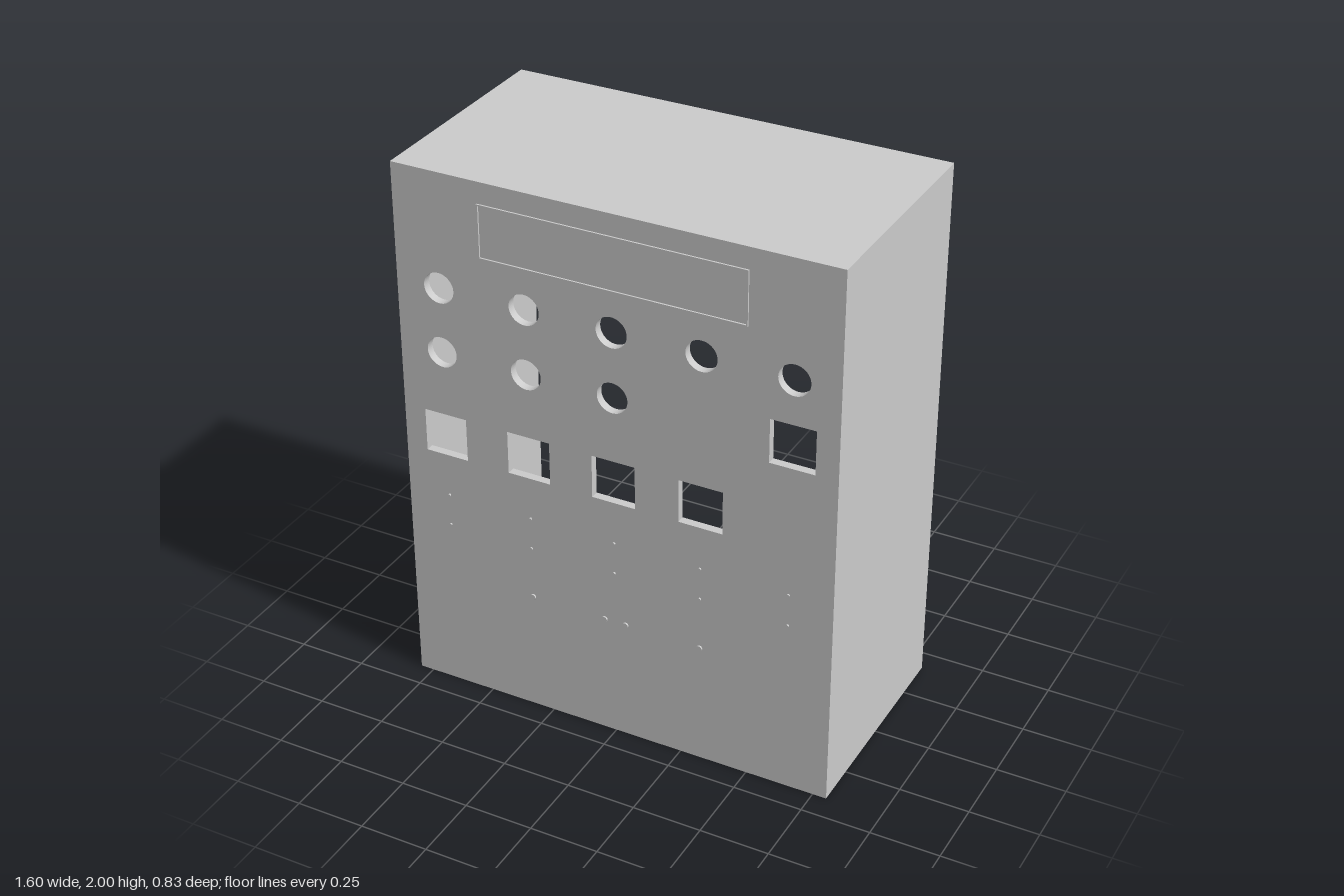
import * as THREE from 'three';

const W = 1.6, H = 2, WALL = 0.03, BACK = -0.415, FRONT = 0.409, LIP = 0.006;
const COLUMNS = [-0.64, -0.32, 0, 0.32, 0.64];
const material = new THREE.MeshStandardMaterial({ color: 0xcccccc });

// Rectangle outline centred on (x, y)
function rect(Type, x, y, w, h) {
  return new Type([
    [-1, -1], [1, -1], [1, 1], [-1, 1],
  ].map(([sx, sy]) => new THREE.Vector2(x + sx * w / 2, y + sy * h / 2)));
}

function circle(x, y, r) {
  const path = new THREE.Path();
  path.absarc(x, y, r, 0, Math.PI * 2, true);
  return path;
}

export function createModel() {
  const model = new THREE.Group();
  const add = (name, geometry, x = 0, y = 0, z = 0) => {
    const mesh = new THREE.Mesh(geometry, material);
    mesh.name = name;
    mesh.position.set(x, y, z);
    model.add(mesh);
    return mesh;
  };
  const extrude = (shape, depth) =>
    new THREE.ExtrudeGeometry(shape, { depth, bevelEnabled: false, curveSegments: 32 });

  // Front panel with round and square cut-outs
  const panel = rect(THREE.Shape, 0, H / 2, W, H);
  COLUMNS.forEach((x) => panel.holes.push(circle(x, 1.58, 0.056)));
  COLUMNS.slice(0, 3).forEach((x) => panel.holes.push(circle(x, 1.34, 0.056)));
  COLUMNS.slice(0, 4).forEach((x) => panel.holes.push(rect(THREE.Path, x, 1.02, 0.16, 0.16)));
  panel.holes.push(rect(THREE.Path, 0.64, 1.34, 0.16, 0.16));
  add('frontPanel', extrude(panel, WALL), 0, 0, FRONT - WALL);

  // Side walls and top; the back and bottom stay open
  const depth = FRONT - WALL - BACK, midZ = BACK + depth / 2;
  for (const [name, side] of [['leftWall', 1], ['rightWall', -1]]) {
    add(name, new THREE.BoxGeometry(WALL, H, depth), side * (W - WALL) / 2, H / 2, midZ);
  }
  add('topWall', new THREE.BoxGeometry(W - 2 * WALL, WALL, depth), 0, H - WALL / 2, midZ);

  // Thin raised rim around the label area
  const rim = rect(THREE.Shape, 0, 1.825, 0.96, 0.195);
  rim.holes.push(rect(THREE.Path, 0, 1.825, 0.95, 0.185));
  add('labelRim', extrude(rim, LIP), 0, 0, FRONT);

  // Small raised marks below the cut-outs
  const addMark = (name, x, y, r) => {
    const mark = add(name, new THREE.CylinderGeometry(r, r, LIP, 16), x, y, FRONT + LIP / 2);
    mark.rotation.x = Math.PI / 2;
  };
  for (const x of COLUMNS) {
    for (const y of [0.78, 0.66]) addMark('smallMark', x, y, 0.005);
  }
  for (const x of [-0.32, -0.04, 0.04, 0.32]) addMark('largeMark', x, 0.46, 0.011);

  return model;
}
